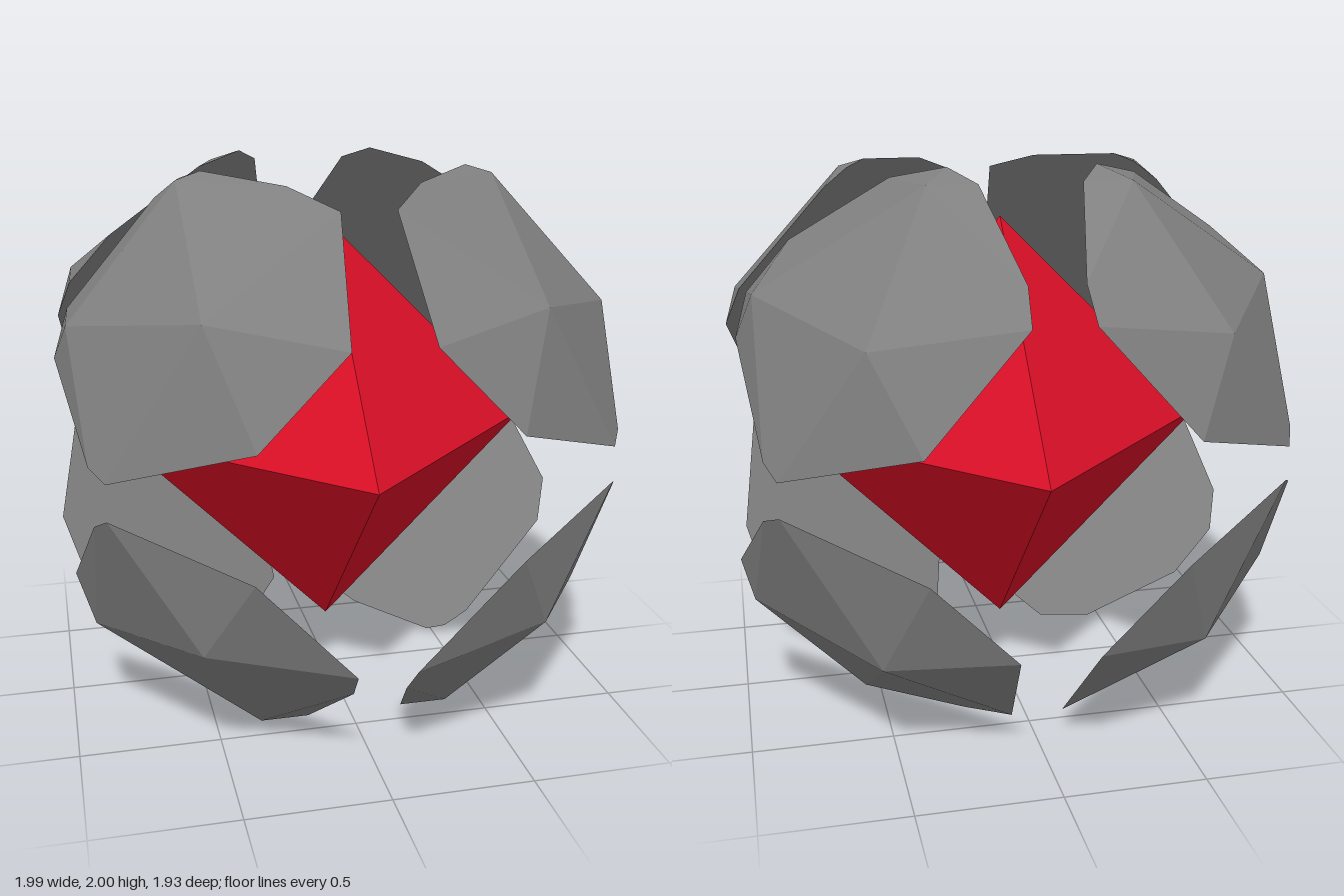
import * as THREE from 'three';
import { ConvexGeometry } from 'three/addons/geometries/ConvexGeometry.js';

const SPHERE_RADIUS = 1.123;
const CUT = 1.608;          // shell pieces lie where |x| + |y| + |z| > CUT
const CORE_RADIUS = 0.782;

// Faceted ball with one vertex straight up, mirrored about x = 0
function facetedBall() {
  const ball = new THREE.IcosahedronGeometry(SPHERE_RADIUS, 1);
  ball.rotateX(-Math.atan((1 + Math.sqrt(5)) / 2));
  return ball;
}

// Solid slice of the ball beyond the diagonal plane of one octant
function shellPiece(ball, sx, sy, sz) {
  const pos = ball.attributes.position;
  const height = (p) => sx * p.x + sy * p.y + sz * p.z - CUT;
  const points = new Map();
  const add = (p) => points.set(p.toArray().map((n) => Math.round(n * 1e4)).join(), p);
  for (let i = 0; i < pos.count; i += 3) {
    for (let k = 0; k < 3; k++) {
      const a = new THREE.Vector3().fromBufferAttribute(pos, i + k);
      const b = new THREE.Vector3().fromBufferAttribute(pos, i + (k + 1) % 3);
      const ha = height(a), hb = height(b);
      if (ha > 0) add(a);
      if (ha * hb < 0) add(a.clone().lerp(b, ha / (ha - hb)));
    }
  }
  return new ConvexGeometry([...points.values()]);
}

export function createModel() {
  const red = new THREE.MeshStandardMaterial({ color: 0xd90f26, flatShading: true });
  red.name = 'core red';
  const grey = new THREE.MeshStandardMaterial({ color: 0x808080, flatShading: true });
  grey.name = 'shell grey';

  const model = new THREE.Group();
  model.name = 'shelledOctahedron';

  // Central crystal
  const core = new THREE.Mesh(new THREE.OctahedronGeometry(CORE_RADIUS), red);
  core.name = 'core';
  core.position.y = 1;
  model.add(core);

  // Eight floating shell pieces, one per octant
  const shell = new THREE.Group();
  shell.name = 'shell';
  shell.position.y = 1;
  const ball = facetedBall();
  for (const sx of [1, -1]) for (const sy of [1, -1]) for (const sz of [1, -1]) {
    const piece = new THREE.Mesh(shellPiece(ball, sx, sy, sz), grey);
    piece.name = (sy > 0 ? 'upper' : 'lower') + (sz > 0 ? 'Front' : 'Back') + (sx > 0 ? 'Left' : 'Right') + 'Shell';
    shell.add(piece);
  }
  model.add(shell);
  return model;
}
